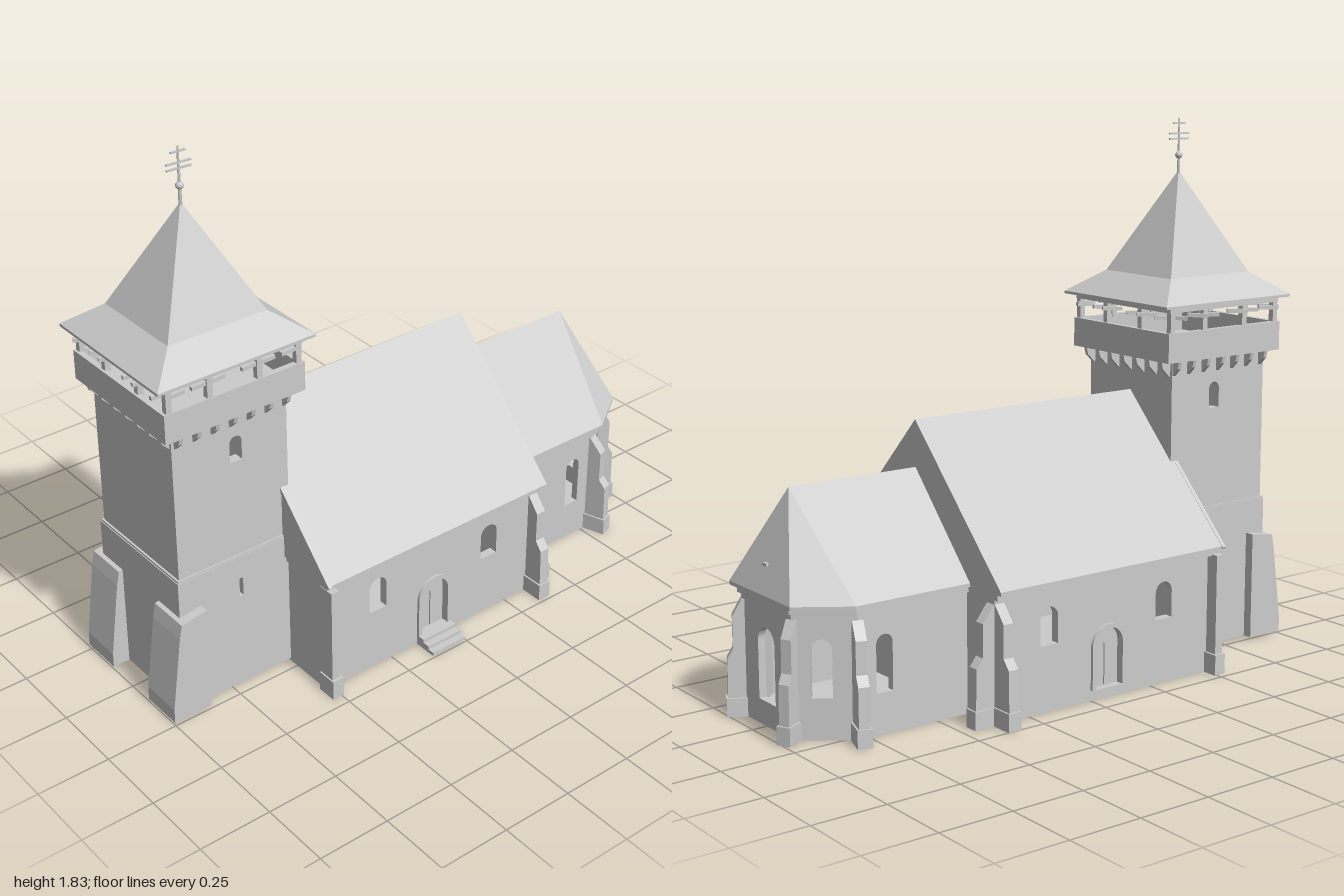
import * as THREE from 'three';

export function createModel() {
  const root = new THREE.Group();
  const stone = new THREE.MeshStandardMaterial({ color: 0xcccccc });
  stone.name = 'pale grey';

  const add = (name, geo, parent = root) => {
    const mesh = new THREE.Mesh(geo, stone);
    mesh.name = name;
    parent.add(mesh);
    return mesh;
  };
  const group = (name) => {
    const g = new THREE.Group();
    g.name = name;
    root.add(g);
    return g;
  };
  const flat = (geo) => {
    const g = geo.index ? geo.toNonIndexed() : geo;
    g.computeVertexNormals();
    return g;
  };
  // Box given by its limits
  const box = (name, x0, x1, y0, y1, z0, z1, parent) =>
    add(name, new THREE.BoxGeometry(x1 - x0, y1 - y0, z1 - z0)
      .translate((x0 + x1) / 2, (y0 + y1) / 2, (z0 + z1) / 2), parent);
  // Straight square bar between two points
  const bar = (name, a, b, w, parent) => {
    const p = new THREE.Vector3(...a), q = new THREE.Vector3(...b);
    const m = add(name, new THREE.BoxGeometry(w, w, p.distanceTo(q)), parent);
    m.position.copy(p).add(q).multiplyScalar(0.5);
    m.lookAt(q);
    return m;
  };
  // Horizontal slab over a footprint of [x, z] points
  const slab = (name, pts, y0, y1, parent) => {
    const shape = new THREE.Shape(pts.map(([x, z]) => new THREE.Vector2(x, -z)));
    const geo = new THREE.ExtrudeGeometry(shape, { depth: y1 - y0, bevelEnabled: false });
    return add(name, geo.rotateX(-Math.PI / 2).translate(0, y0, 0), parent);
  };
  // Round-headed outline
  const arch = (path, u, w, y0, y1) => {
    const r = w / 2;
    path.moveTo(u - r, y0);
    path.lineTo(u + r, y0);
    path.lineTo(u + r, y1 - r);
    path.absarc(u, y1 - r, r, 0, Math.PI, false);
    path.lineTo(u - r, y0);
    return path;
  };
  // Wall panel from p to q, with arched holes [u, width, bottom, top]
  const wall = (name, p, q, y0, y1, t, holes, parent) => {
    const dx = q[0] - p[0], dz = q[1] - p[1], len = Math.hypot(dx, dz);
    const shape = new THREE.Shape([[0, y0], [len, y0], [len, y1], [0, y1]].map((c) => new THREE.Vector2(...c)));
    for (const h of holes) shape.holes.push(arch(new THREE.Path(), ...h));
    const geo = new THREE.ExtrudeGeometry(shape, { depth: t, bevelEnabled: false, curveSegments: 8 });
    const m = add(name, geo.translate(0, 0, -t), parent);
    m.position.set(p[0], 0, p[1]);
    m.rotation.y = Math.atan2(-dz, dx);
  };
  // Closed ring of walls; holes are listed per wall
  const shell = (name, pts, y0, y1, t, holes, parent) => pts.forEach((p, i) =>
    wall(name, p, pts[(i + 1) % pts.length], y0, y1, t, holes[i] || [], parent));
  const rect = (x0, x1, h) => [[x0, h], [x1, h], [x1, -h], [x0, -h]];
  // Solid from flat polygons
  const solid = (name, pts, polys, parent) => {
    const pos = [];
    for (const f of polys) for (let i = 1; i < f.length - 1; i++)
      pos.push(...pts[f[0]], ...pts[f[i]], ...pts[f[i + 1]]);
    const geo = new THREE.BufferGeometry();
    geo.setAttribute('position', new THREE.Float32BufferAttribute(pos, 3));
    return add(name, flat(geo), parent);
  };
  // Stepped buttress leaning on a wall point, facing the given angle from +x toward +z
  const buttress = (x, z, angle, depth, width, top, parent) => {
    const d = depth;
    const prof = [[-0.03, 0], [d, 0], [d * 0.95, top * 0.5], [d * 0.6, top * 0.58],
      [d * 0.6, top * 0.86], [0, top], [-0.03, top]].map((c) => new THREE.Vector2(...c));
    const geo = new THREE.ExtrudeGeometry(new THREE.Shape(prof), { depth: width, bevelEnabled: false });
    const m = add('buttress', geo.translate(0, 0, -width / 2), parent);
    const foot = add('buttressFoot', new THREE.BoxGeometry(d + 0.035, 0.06, width + 0.012), parent);
    foot.geometry.translate((d - 0.025) / 2, 0.03, 0);
    for (const o of [m, foot]) {
      o.position.set(x, 0, z);
      o.rotation.y = -angle;
    }
  };

  // Nave: hollow walls, floor, cornice and gable roof
  const nave = group('nave');
  const nx0 = -0.52, nx1 = 0.385, nz = 0.415, doorX = -0.07;
  const naveHoles = (at) => [[at(-0.307), 0.07, 0.22, 0.345], [at(0.17), 0.07, 0.22, 0.345],
    [at(doorX), 0.11, 0.035, 0.235]];
  shell('naveWall', rect(nx0, nx1, nz), 0, 0.42, 0.03,
    [naveHoles((x) => x - nx0), [], naveHoles((x) => nx1 - x)], nave);
  box('naveFloor', nx0, nx1, 0, 0.01, -nz, nz, nave);
  box('naveCornice', nx0 - 0.008, nx1 + 0.003, 0.405, 0.425, -nz - 0.02, nz + 0.02, nave);
  const gable = new THREE.Shape([[-0.455, 0.425], [0.455, 0.425], [0.455, 0.438], [0, 0.905], [-0.455, 0.438]]
    .map((c) => new THREE.Vector2(...c)));
  add('naveRoof', new THREE.ExtrudeGeometry(gable, { depth: 0.925, bevelEnabled: false })
    .rotateY(Math.PI / 2).translate(-0.535, 0, 0), nave);

  // Doors on both long sides
  for (const s of [1, -1]) {
    const door = group('door');
    door.position.set(doorX, 0, s * nz);
    if (s < 0) door.rotation.y = Math.PI;
    const frame = arch(new THREE.Shape(), 0, 0.14, 0.035, 0.248);
    frame.holes.push(arch(new THREE.Path(), 0, 0.11, 0.036, 0.235));
    add('doorFrame', new THREE.ExtrudeGeometry(frame, { depth: 0.01, bevelEnabled: false }), door);
    add('doorLeaf', new THREE.ExtrudeGeometry(arch(new THREE.Shape(), 0, 0.115, 0.03, 0.238),
      { depth: 0.008, bevelEnabled: false }).translate(0, 0, -0.026), door);
    box('doorSeam', -0.003, 0.003, 0.04, 0.18, -0.02, -0.013, door);
  }
  for (let i = 0; i < 3; i++)
    box('doorStep', doorX - 0.07, doorX + 0.07, 0, 0.012 * (i + 1), nz - 0.01, 0.5 - i * 0.025, nave);

  // Nave corner buttresses
  for (const s of [1, -1]) {
    buttress(0.365, s * nz, s * Math.PI / 2, 0.075, 0.036, 0.39, nave);
    buttress(nx1, s * 0.395, 0, 0.07, 0.036, 0.39, nave);
    box('cornerPilaster', -0.53, -0.5, 0, 0.41, s * 0.43 - 0.03, s * 0.43 + 0.03, nave);
    box('pilasterFoot', -0.535, -0.492, 0, 0.07, s * 0.435 - 0.035, s * 0.435 + 0.035, nave);
    // Raking boards on the west gable
    bar('gableBoard', [-0.532, 0.43, s * 0.455], [-0.532, 0.895, 0], 0.014, nave);
  }

  // Chancel with a three-sided apse
  const chancel = group('chancel');
  const foot = [[0.38, 0.272], [0.79, 0.272], [0.95, 0.15], [0.95, -0.15], [0.79, -0.272], [0.38, -0.272]];
  const edge = Math.hypot(0.16, 0.122);
  shell('chancelWall', foot, 0, 0.42, 0.025, [
    [[0.315, 0.06, 0.135, 0.32]],
    [[edge / 2 + 0.01, 0.065, 0.135, 0.32]],
    [[0.15, 0.1, 0.08, 0.32]],
    [[edge / 2 - 0.01, 0.065, 0.135, 0.32]],
    [[0.095, 0.06, 0.135, 0.32]],
  ], chancel);
  slab('chancelFloor', foot, 0, 0.01, chancel);
  const eaves = [[0.38, 0.295], [0.81, 0.295], [0.972, 0.183], [0.972, -0.183], [0.81, -0.295], [0.38, -0.295]];
  slab('chancelCornice', foot.map(([x, z]) => [x + (x > 0.5 ? 0.01 : 0), z * 1.04]), 0.4, 0.422, chancel);
  slab('chancelEaves', eaves, 0.42, 0.432, chancel);
  solid('chancelRoof', [...eaves.map(([x, z]) => [x, 0.432, z]), [0.38, 0.75, 0], [0.86, 0.75, 0]],
    [[0, 1, 7, 6], [1, 2, 7], [2, 3, 7], [3, 4, 7], [4, 5, 6, 7], [5, 0, 6]], chancel);
  box('roofHatch', 0.93, 0.95, 0.515, 0.525, -0.01, 0.01, chancel);
  for (const s of [1, -1]) {
    buttress(0.79, s * 0.272, s * 1.25, 0.07, 0.036, 0.38, chancel);
    buttress(0.95, s * 0.15, s * 0.47, 0.05, 0.036, 0.38, chancel);
  }

  // Tower shaft
  const tower = group('tower');
  const tx = -0.715;
  shell('towerBase', rect(-0.94, -0.505, 0.222), 0.01, 0.5, 0.04,
    [[[0.235, 0.014, 0.35, 0.42]], [], [[0.2, 0.014, 0.35, 0.42]]], tower);
  slab('towerFloor', rect(-0.94, -0.505, 0.222), 0.01, 0.02, tower);
  slab('towerLedge', rect(-0.937, -0.508, 0.22), 0.49, 0.507, tower);
  shell('towerShaft', rect(-0.93, -0.508, 0.214), 0.5, 1.035, 0.035,
    [[[0.229, 0.045, 0.85, 0.94]], [], [[0.193, 0.045, 0.85, 0.94]]], tower);

  // Heavy corner buttresses on the west side
  const profile = [[-0.86, 0.01], [-0.86, 0.385], [-0.955, 0.37], [-0.965, 0.32], [-1, 0.06], [-1, 0.01]];
  for (const s of [1, -1]) {
    const geo = new THREE.ExtrudeGeometry(new THREE.Shape(profile.map((c) => new THREE.Vector2(...c))),
      { depth: 0.15, bevelEnabled: false });
    add('towerButtress', geo.translate(0, 0, s > 0 ? 0.105 : -0.255), tower);
  }

  // Gallery: corbels, parapet, posts and braces
  const gallery = group('gallery');
  slab('galleryFloor', rect(tx - 0.252, tx + 0.252, 0.248), 1.03, 1.045, gallery);
  shell('parapet', rect(tx - 0.255, tx + 0.255, 0.25), 1.03, 1.13, 0.02, [], gallery);
  const bracket = [[-0.01, 1.03], [0.036, 1.03], [0.03, 1.005], [0, 0.975], [-0.01, 0.975]];
  for (let k = 0; k < 4; k++) {
    const side = new THREE.Group();
    side.name = 'gallerySide';
    side.position.x = tx;
    side.rotation.y = k * Math.PI / 2;
    gallery.add(side);
    for (let i = -3; i <= 3; i++)
      add('corbel', new THREE.ExtrudeGeometry(new THREE.Shape(bracket.map((c) => new THREE.Vector2(...c))),
        { depth: 0.014, bevelEnabled: false }).rotateY(-Math.PI / 2).translate(i * 0.066 + 0.007, 0, 0.21), side);
    for (const x of [-0.235, -0.09, 0.09]) {
      box('post', x - 0.01, x + 0.01, 1.12, 1.22, 0.227, 0.247, side);
      bar('brace', [x, 1.155, 0.237], [x + 0.05, 1.205, 0.237], 0.013, side);
    }
    for (const x of [-0.09, 0.09, 0.235])
      bar('brace', [x, 1.155, 0.237], [x - 0.05, 1.205, 0.237], 0.013, side);
    box('topBeam', -0.248, 0.248, 1.198, 1.22, 0.226, 0.248, side);
  }

  // Flared pyramid roof
  const frustum = (name, top, bottom, y0, y1) => {
    const geo = new THREE.CylinderGeometry(top * Math.SQRT2, bottom * Math.SQRT2, y1 - y0, 4, 1)
      .rotateY(Math.PI / 4).scale(1, 1, 0.95).translate(tx, (y0 + y1) / 2, 0);
    add(name, flat(geo), tower);
  };
  frustum('towerEaves', 0.284, 0.284, 1.215, 1.224);
  frustum('towerRoofSkirt', 0.178, 0.284, 1.224, 1.3);
  frustum('towerRoof', 0.004, 0.178, 1.3, 1.64);

  // Finial with ball and cross bars
  const finial = group('finial');
  finial.position.x = tx;
  add('finialPole', new THREE.CylinderGeometry(0.003, 0.006, 0.2, 6).translate(0, 1.725, 0), finial);
  add('finialBall', new THREE.SphereGeometry(0.013, 12, 8).translate(0, 1.7, 0), finial);
  for (const [y, h] of [[1.755, 0.042], [1.773, 0.042], [1.808, 0.025]])
    bar('crossBar', [0, y - 0.002, -h], [0, y + 0.002, h], 0.006, finial);

  root.position.z = -0.008;
  return root;
}
